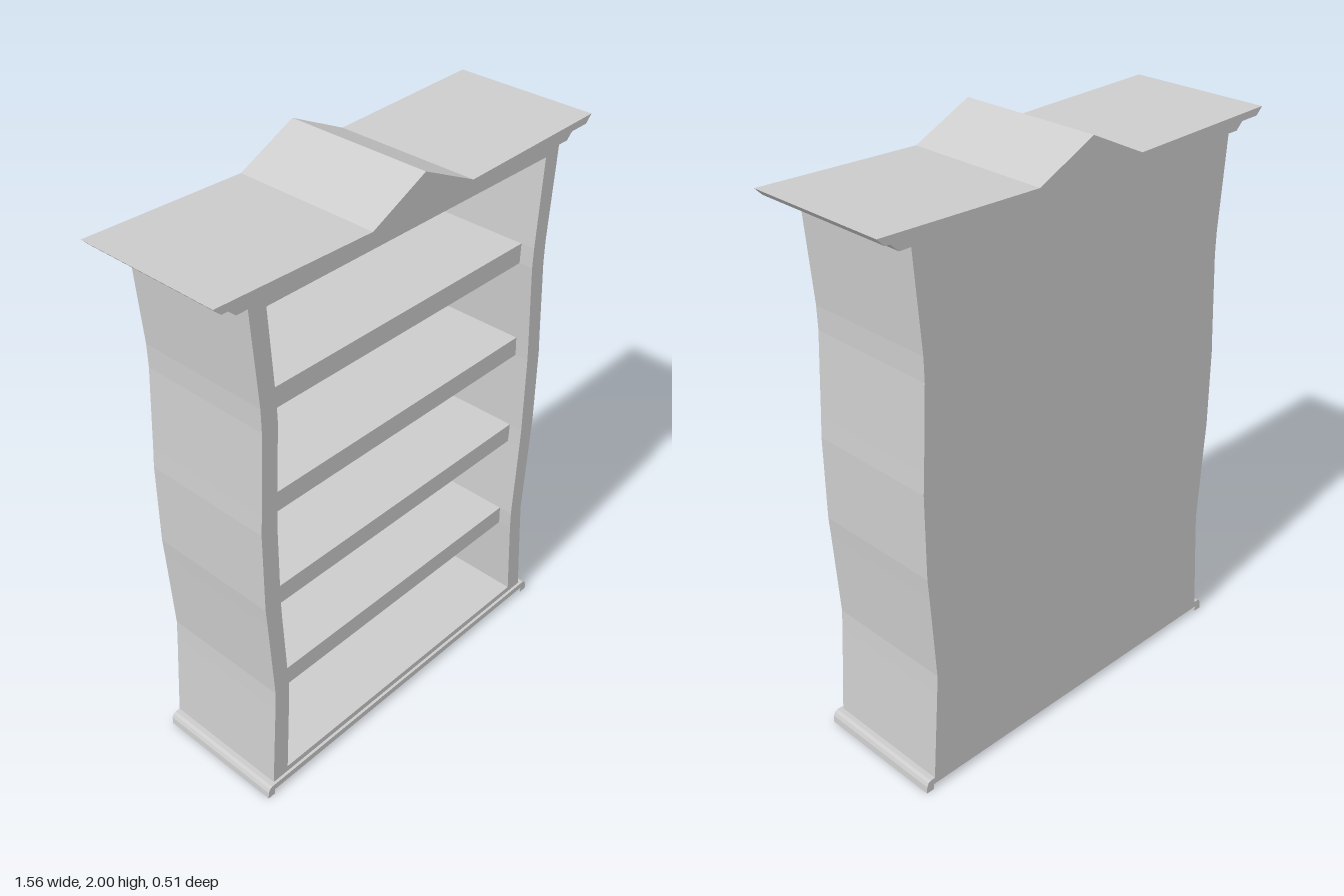
import * as THREE from 'three';

const material = new THREE.MeshStandardMaterial({ color: 0xcccccc, flatShading: true });

// Closed left-right symmetric outline from the points of its +x half, listed bottom to top
function mirrored(half) {
  const right = half.map(([x, y]) => new THREE.Vector2(x, y));
  const left = half.filter(([x]) => x > 0).map(([x, y]) => new THREE.Vector2(-x, y)).reverse();
  return [...right, ...left];
}

// Extrude an outline from z0 to z1, with an optional opening
function slab(name, outline, z0, z1, opening) {
  const shape = new THREE.Shape(outline);
  if (opening) shape.holes.push(new THREE.Path(opening));
  const geometry = new THREE.ExtrudeGeometry(shape, { depth: z1 - z0, bevelEnabled: false });
  geometry.translate(0, 0, z0);
  const mesh = new THREE.Mesh(geometry, material);
  mesh.name = name;
  return mesh;
}

export function createModel() {
  const group = new THREE.Group();
  group.name = 'bookcase';

  const back = -0.23, front = 0.235, panel = 0.02;

  // Wavy case sides, with a top edge that follows the underside of the crown
  const outer = mirrored([
    [0.65, 0.04], [0.626, 0.37], [0.622, 0.44], [0.64, 0.74], [0.645, 0.81], [0.645, 1.1],
    [0.64, 1.17], [0.624, 1.45], [0.625, 1.53], [0.65, 1.85], [0.65, 1.887], [0.2, 1.878], [0, 1.935],
  ]);
  const inner = mirrored([
    [0.585, 0.065], [0.566, 0.37], [0.564, 0.44], [0.58, 0.735], [0.583, 0.805], [0.583, 1.095],
    [0.58, 1.165], [0.564, 1.455], [0.566, 1.525], [0.587, 1.83],
  ]);
  group.add(slab('case', outer, back + panel, front, inner));
  group.add(slab('backPanel', outer, back, back + panel));

  // Shelves, set back from the front frame, their ends housed in the sides
  [0.405, 0.77, 1.13, 1.49].forEach((y, i) => {
    const shelf = new THREE.Mesh(new THREE.BoxGeometry(1.18, 0.07, 0.395), material);
    shelf.position.set(0, y, -0.0125);
    shelf.name = `shelf${i + 1}`;
    group.add(shelf);
  });

  // Base board with a moulded foot at each end
  group.add(slab('base', mirrored([
    [0.655, 0.02], [0.655, 0], [0.685, 0], [0.683, 0.025], [0.677, 0.038], [0.667, 0.043],
  ]), back, 0.245));

  // Stepped mouldings under the ends of the crown
  for (const side of [1, -1]) {
    const points = [[0.645, 1.85], [0.69, 1.85], [0.73, 1.888], [0.645, 1.888]]
      .map(([x, y]) => new THREE.Vector2(side * x, y));
    group.add(slab(side > 0 ? 'leftMoulding' : 'rightMoulding', points, back, front));
  }

  // Crown with a central peak
  group.add(slab('crown', mirrored([
    [0, 1.935], [0.2, 1.878], [0.755, 1.89], [0.78, 1.915], [0.21, 1.9], [0, 2],
  ]), -0.255, 0.255));

  return group;
}
